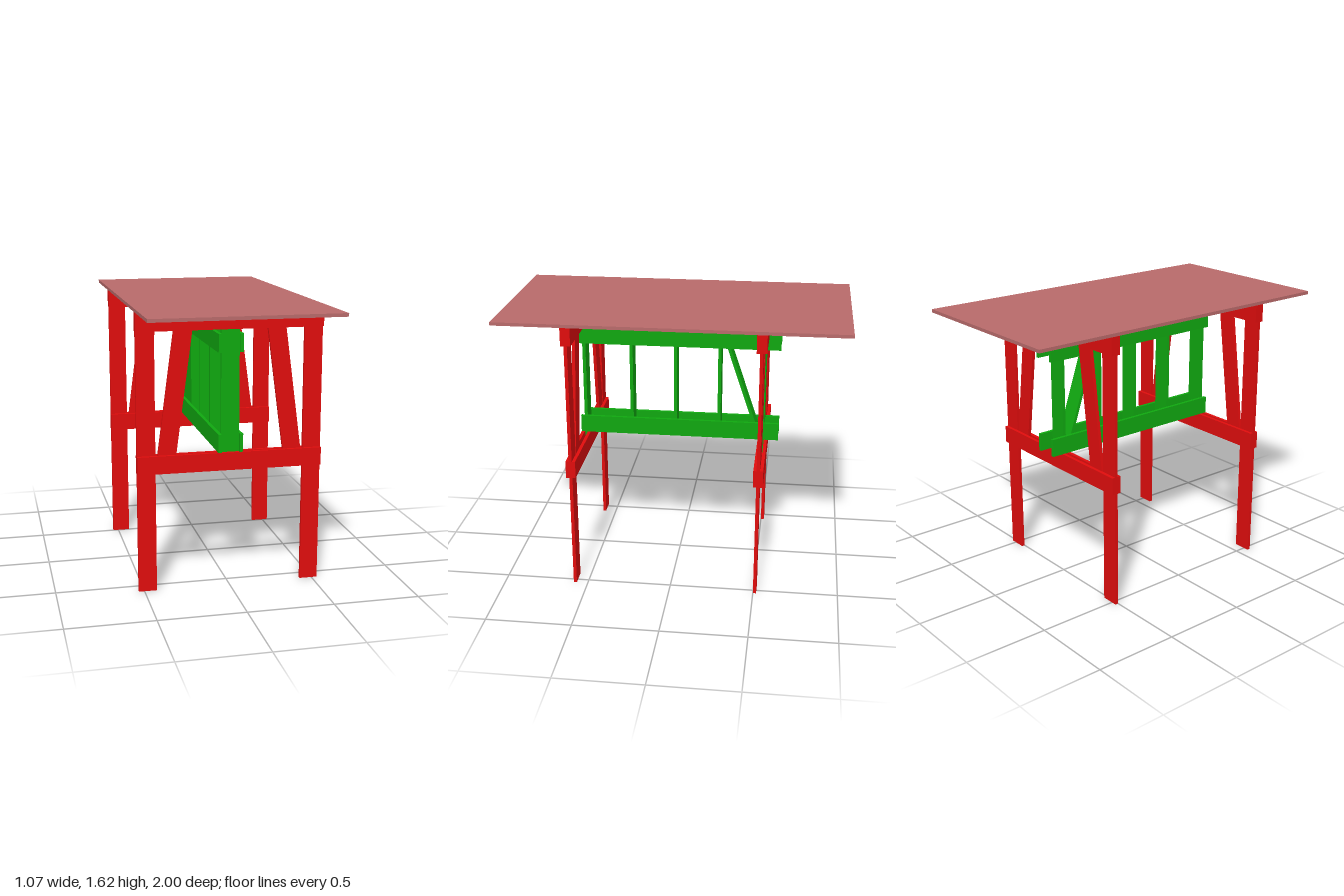
import * as THREE from 'three';

const red = new THREE.MeshStandardMaterial({ color: 0xe00d0d });
const green = new THREE.MeshStandardMaterial({ color: 0x10a810 });
const rose = new THREE.MeshStandardMaterial({ color: 0xb86a6a });

const T = 0.019; // board thickness
const W = 0.105; // board width
const TOP = 1.605; // underside of the table top

// Box given by its min and max on each axis
function board(name, material, [x0, x1], [y0, y1], [z0, z1]) {
  const mesh = new THREE.Mesh(new THREE.BoxGeometry(x1 - x0, y1 - y0, z1 - z0), material);
  mesh.position.set((x0 + x1) / 2, (y0 + y1) / 2, (z0 + z1) / 2);
  mesh.name = name;
  return mesh;
}

// Slides the upper end of a board sideways, keeping its ends level
function lean(mesh, axis, shift) {
  const pos = mesh.geometry.attributes.position;
  for (let i = 0; i < pos.count; i++) {
    if (pos.getY(i) > 0) pos.setComponent(i, axis, pos.getComponent(i, axis) + shift);
  }
  mesh.geometry.computeVertexNormals();
  return mesh;
}

// Range of one thickness about a centre
const thin = (c) => [c - T / 2, c + T / 2];

function trestle(name, z) {
  const g = new THREE.Group();
  g.name = name;
  const half = 0.533, inner = half - W;
  for (const s of [-1, 1]) {
    const span = (a, b) => (s > 0 ? [a, b] : [-b, -a]);
    g.add(board('leg', red, span(inner, half), [0, TOP], thin(z)));
    // Slanted strut, its foot against the leg
    g.add(lean(board('strut', red, span(inner - W, inner), [0.7, TOP], thin(z)), 0, -s * 0.122));
    // Paired rails clamp the legs on both faces
    g.add(board('topRail', red, [-half, half], [TOP - W, TOP], thin(z + s * T)));
    g.add(board('middleRail', red, [-half, half], [0.697, 0.8], thin(z + s * T)));
  }
  g.add(board('trestlePost', green, [-W / 2, W / 2], [0.7, TOP], thin(z)));
  return g;
}

function stretcher() {
  const g = new THREE.Group();
  g.name = 'stretcher';
  const length = [-0.605, 0.605], x = [-W / 2, W / 2], y = [0.8, 1.475];
  // Paired beams on both sides of the posts
  for (const s of [-1, 1]) {
    const side = thin(s * (W + T) / 2);
    g.add(board('lowerBeam', green, side, [y[0], y[0] + W], length));
    g.add(board('upperBeam', green, side, [y[1] - W, y[1]], length));
  }
  for (const z of [0.29, 0.023, -0.243]) g.add(board('stretcherPost', green, x, y, thin(z)));
  g.add(lean(board('diagonalBrace', green, x, y, thin(-0.489)), 2, 0.228));
  return g;
}

export function createModel() {
  const model = new THREE.Group();
  model.name = 'trestleTable';
  model.add(board('tableTop', rose, [-0.533, 0.533], [TOP, TOP + T], [-1, 1]));
  model.add(trestle('frontTrestle', 0.577), trestle('backTrestle', -0.51));
  model.add(stretcher());
  return model;
}
